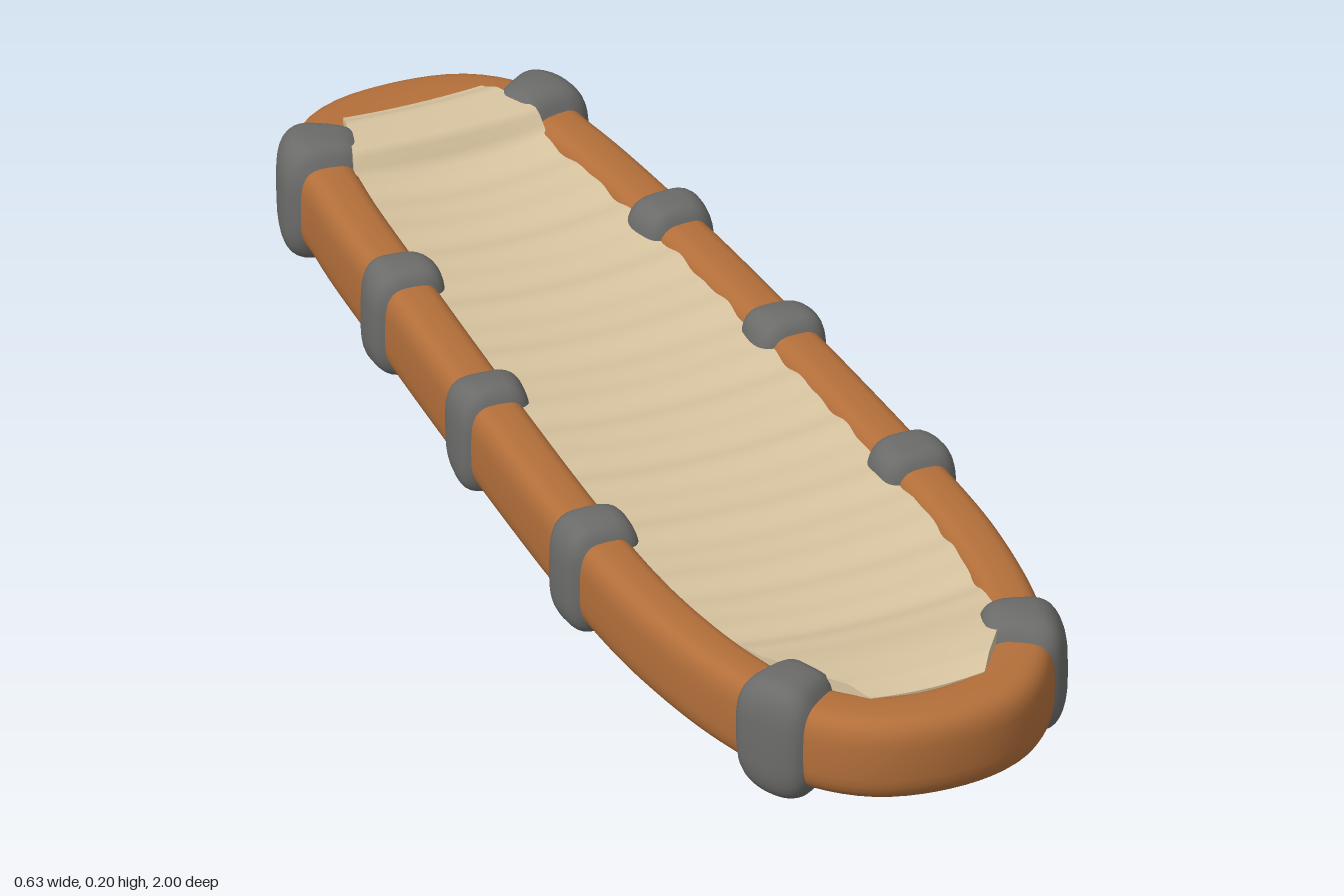
import * as THREE from 'three';

const wood = new THREE.MeshStandardMaterial({ color: 0xb36f3a });
wood.name = 'tan wood';
const wrap = new THREE.MeshStandardMaterial({ color: 0x6b6c6a });
wrap.name = 'grey binding';
const cloth = new THREE.MeshStandardMaterial({ color: 0xd8c4a0 });
cloth.name = 'cream canvas';

const UP = new THREE.Vector3(0, 1, 0);
const MID = 0.1025;
const { lerp, mapLinear, smoothstep } = THREE.MathUtils;

// Slight sideways lean of the whole bed toward the back
const lean = (z) => 0.011 * smoothstep(-z, -0.4, 0.5) - 0.004 * smoothstep(-z, 0.6, 0.95) - 0.003;

// Frame centreline (x, z), one side, front to back
const half = [
  [0, 0.943], [0.095, 0.922], [0.172, 0.845], [0.217, 0.72], [0.247, 0.52], [0.251, 0.3],
  [0.234, -0.13], [0.212, -0.48], [0.188, -0.74], [0.164, -0.855], [0.1, -0.925], [0, -0.944],
];
const loop = [...half, ...half.slice(1, -1).reverse().map(([x, z]) => [-x, z])];
const path = new THREE.CatmullRomCurve3(
  loop.map(([x, z]) => new THREE.Vector3(x + lean(z), MID, z)), true, 'centripetal');
path.arcLengthDivisions = 800;

const spow = (v, p) => Math.sign(v) * Math.abs(v) ** p;

// Sweep a rounded-rectangle section along part of the frame path
function sweep(u0, u1, rings, sides, closed, size) {
  const pos = [], idx = [];
  for (let i = 0; i < rings; i++) {
    const t = closed ? i / rings : i / (rings - 1);
    const u = (((u0 + (u1 - u0) * t) % 1) + 1) % 1;
    const p = path.getPointAt(u);
    const side = UP.clone().cross(path.getTangentAt(u)).normalize();
    for (let j = 0; j < sides; j++) {
      const a = (j / sides) * Math.PI * 2;
      const [w, h] = size(t, a, p.z);
      const s = spow(Math.cos(a), 0.6) * w;
      pos.push(p.x + side.x * s, p.y + spow(Math.sin(a), 0.6) * h, p.z + side.z * s);
    }
  }
  for (let i = 0; i < (closed ? rings : rings - 1); i++) {
    for (let j = 0; j < sides; j++) {
      const k = (j + 1) % sides, n = (i + 1) % rings;
      const a = i * sides + j, c = i * sides + k, b = n * sides + j, d = n * sides + k;
      idx.push(a, c, b, c, d, b);
    }
  }
  const g = new THREE.BufferGeometry();
  g.setAttribute('position', new THREE.Float32BufferAttribute(pos, 3));
  g.setIndex(idx);
  g.computeVertexNormals();
  return g;
}

// Path parameter nearest to a point in plan
function nearest(x, z) {
  let best = 0, dist = Infinity;
  for (let i = 0; i < 600; i++) {
    const p = path.getPointAt(i / 600);
    const d = Math.hypot(p.x - x, p.z - z);
    if (d < dist) { dist = d; best = i / 600; }
  }
  return best;
}

// Canvas half width along z
const widths = [
  [-0.9, 0.11], [-0.78, 0.15], [-0.7, 0.16], [-0.48, 0.178], [-0.13, 0.2],
  [0.3, 0.217], [0.52, 0.211], [0.72, 0.185], [0.8, 0.16], [0.9, 0.09],
];
function widthAt(z) {
  let i = 0;
  while (i < widths.length - 2 && z > widths[i + 1][0]) i++;
  const [z0, w0] = widths[i], [z1, w1] = widths[i + 1];
  return mapLinear(z, z0, z1, w0, w1);
}

// Canvas wrapped over and under, filling most of the frame depth
function canvasGeometry() {
  const g = new THREE.BoxGeometry(2, 1, 1.8, 14, 4, 220);
  const p = g.attributes.position;
  for (let i = 0; i < p.count; i++) {
    const s = p.getX(i), v = p.getY(i) + 0.5, z = p.getZ(i);
    // Cross wrinkles and sag over the middle
    const ripple = 0.002 * Math.sin(z * 47 + 0.3 * s) + 0.0015 * Math.sin(z * 83 + 0.6 * s * s + 1);
    // End sleeves: abrupt step at the back, gentle slope at the front
    const back = smoothstep(-z, 0.765, 0.795);
    const front = smoothstep(z, 0.62, 0.82);
    const low = smoothstep(Math.abs(z), 0.765, 0.8);
    const round = 0.012 * smoothstep(Math.abs(z), 0.865, 0.9);
    const sheet = 0.142 + 0.012 * s * s + ripple;
    const yTop = lerp(lerp(sheet, 0.186 + 0.004 * s * s, back), 0.177 + 0.006 * s * s, front) - round;
    const yLow = lerp(0.06 - 0.01 * s * s + ripple, 0.015 - 0.004 * s * s, low) + round;
    p.setXYZ(i, s * widthAt(z) + lean(z), lerp(yLow, yTop, v), z);
  }
  g.computeVertexNormals();
  return g;
}

export function createModel() {
  const model = new THREE.Group();
  model.name = 'stretcher';
  const add = (name, geometry, material) => {
    const m = new THREE.Mesh(geometry, material);
    m.name = name;
    model.add(m);
  };

  // Bent oval frame, broader at the ends
  add('frame', sweep(0, 1, 220, 32, true,
    (t, a, z) => [0.044 + 0.012 * smoothstep(Math.abs(z), 0.75, 0.93), 0.068]), wood);

  // Canvas bed with end sleeves
  add('canvasBed', canvasGeometry(), cloth);

  // Lumpy bindings around the frame: left z, right z, reach, half width, half height
  const bindings = [
    [0.2, 0.8, 0.83, 0.058, 0.067, 0.095], [0.25, 0.295, 0.295, 0.05, 0.061, 0.09],
    [0.235, -0.125, -0.125, 0.047, 0.059, 0.088], [0.212, -0.475, -0.475, 0.047, 0.059, 0.089],
    [0.168, -0.84, -0.84, 0.054, 0.068, 0.097],
  ];
  const length = path.getLength();
  for (const side of [1, -1]) {
    bindings.forEach(([x, zLeft, zRight, reach, w, h], n) => {
      const z = side > 0 ? zLeft : zRight;
      const u = nearest(side * x + lean(z), z), du = reach / length;
      const geo = sweep(u - du, u + du, 17, 36, false, (t, a) => {
        const e = Math.abs(t * 2 - 1);
        const swell = 1 - 0.26 * e ** 6 - 0.09 * e * e;
        const lump = 1 + 0.025 * Math.sin(3 * a + n * 2 + side) * Math.cos(t * 5 + n);
        return [w * swell * lump, h * swell * lump];
      });
      add(side > 0 ? 'leftBinding' : 'rightBinding', geo, wrap);
    });
  }
  return model;
}
